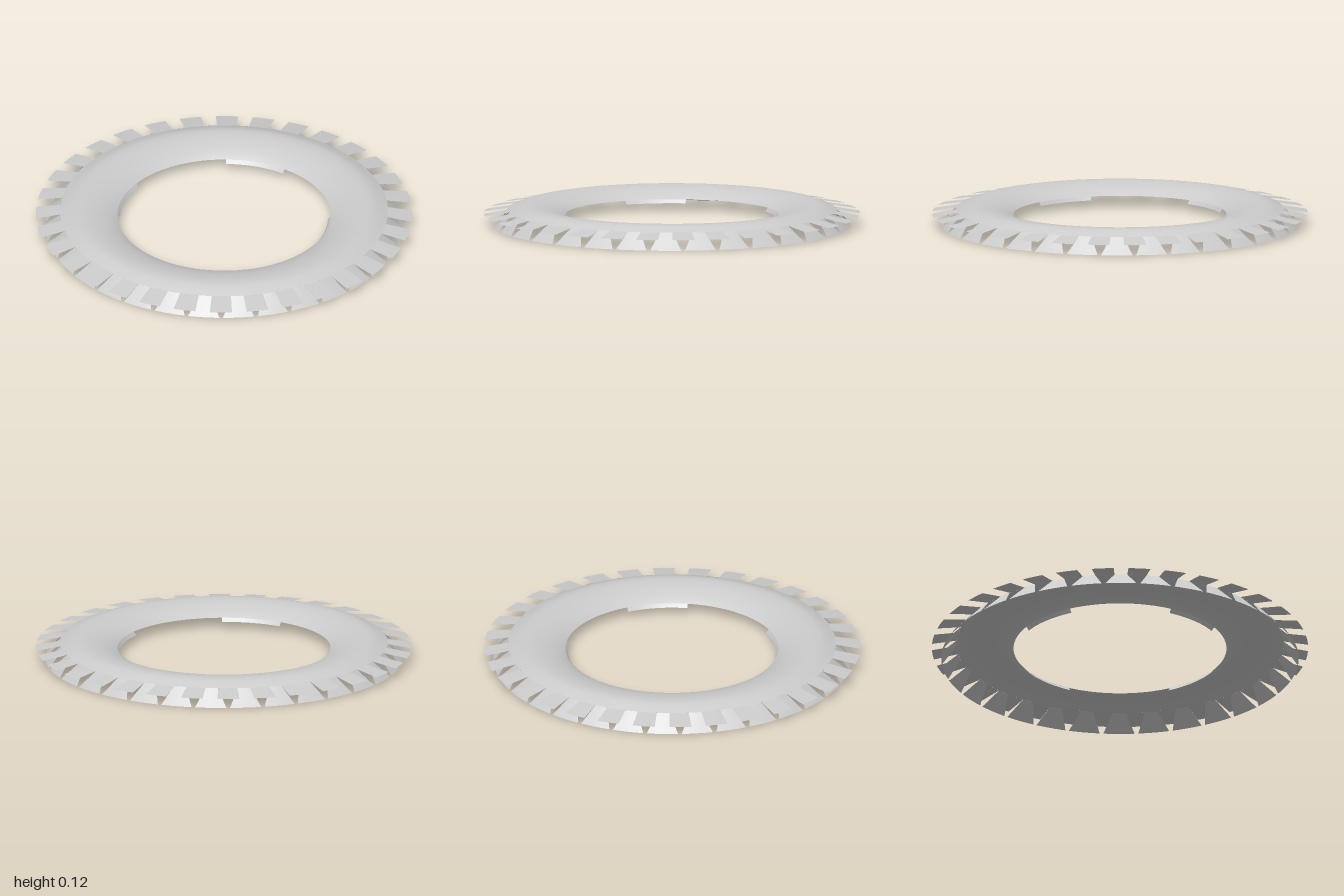
import * as THREE from 'three';

const TEETH = 32;
const PITCH = (Math.PI * 2) / TEETH;
const START = 0.122; // angle of the first tooth, measured from +z towards +x

const material = new THREE.MeshStandardMaterial({ color: 0xcccccc, side: THREE.DoubleSide });

// Sheet swept around y: each row is [radius, height, half angle]
function sheet(rows, segments) {
  const positions = [];
  const index = [];
  for (const [r, y, half] of rows) {
    for (let j = 0; j <= segments; j++) {
      const a = half * ((2 * j) / segments - 1);
      positions.push(r * Math.sin(a), y, r * Math.cos(a));
    }
  }
  const n = segments + 1;
  for (let i = 0; i < rows.length - 1; i++) {
    for (let j = 0; j < segments; j++) {
      const a = i * n + j;
      const b = a + n;
      index.push(a, b, a + 1, b, b + 1, a + 1);
    }
  }
  const geometry = new THREE.BufferGeometry();
  geometry.setAttribute('position', new THREE.Float32BufferAttribute(positions, 3));
  geometry.setIndex(index);
  geometry.computeVertexNormals();
  return geometry;
}

// Repeats one geometry around the ring
function repeat(name, geometry, count, start) {
  const group = new THREE.Group();
  group.name = name + 's';
  for (let i = 0; i < count; i++) {
    const mesh = new THREE.Mesh(geometry, material);
    mesh.name = name;
    mesh.rotation.y = start + (i * Math.PI * 2) / count;
    group.add(mesh);
  }
  return group;
}

export function createModel() {
  const model = new THREE.Group();
  model.name = 'toothedRing';

  // Domed ring, from the outer edge over the crown to the hole
  const profile = [
    [0.87, 0.086], [0.84, 0.098], [0.81, 0.109], [0.785, 0.114], [0.755, 0.115],
    [0.72, 0.112], [0.68, 0.105], [0.645, 0.096], [0.61, 0.083], [0.585, 0.071], [0.566, 0.059],
  ].map(([r, y]) => new THREE.Vector2(r, y));
  const dome = new THREE.Mesh(new THREE.LatheGeometry(profile, 128), material);
  dome.name = 'domedRing';
  model.add(dome);

  // Flat teeth pointing outwards
  const tooth = sheet([[0.87, 0.086, 0.059], [1, 0.064, 0.059]], 4);
  model.add(repeat('outerTooth', tooth, TEETH, START));

  // Flaps bent down between the teeth, widening to the base
  const flap = sheet([[0.87, 0.086, 0.039], [0.95, 0, 0.088]], 6);
  model.add(repeat('lowerFlap', flap, TEETH, START + PITCH / 2));

  // Four lips hanging from the edge of the hole
  const lip = sheet([[0.552, 0.04, 0.292], [0.566, 0.059, 0.292]], 16);
  model.add(repeat('innerLip', lip, 4, START + PITCH * 3.5));

  return model;
}
